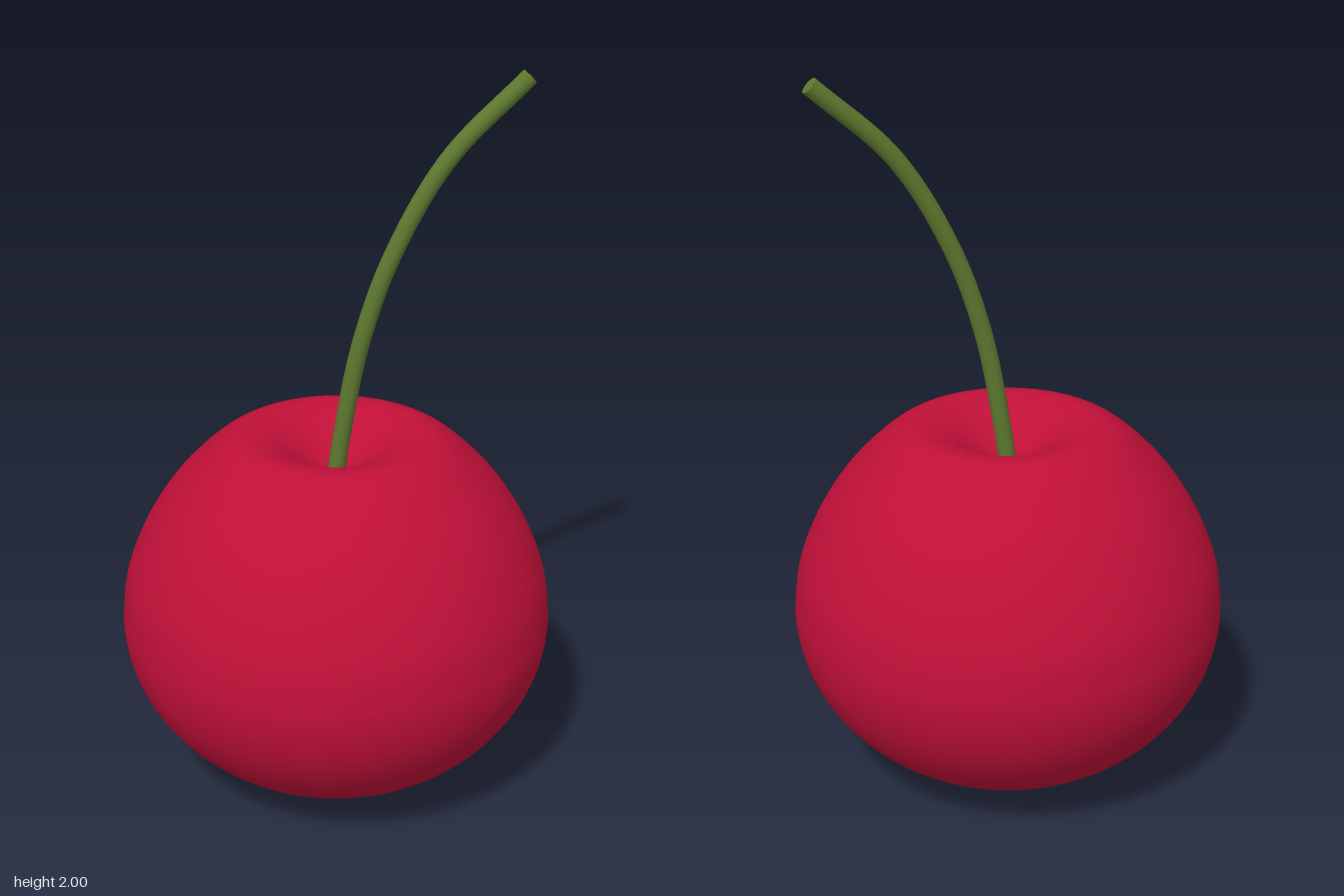
import * as THREE from 'three';

const V2 = (x, y) => new THREE.Vector2(x, y);
const V3 = (x, y, z) => new THREE.Vector3(x, y, z);

export function createModel() {
  const red = new THREE.MeshStandardMaterial({ color: 0xc01038 });
  red.name = 'cherry red';
  const green = new THREE.MeshStandardMaterial({ color: 0x5c772e });
  green.name = 'stem green';

  const model = new THREE.Group();
  model.name = 'cherry';

  // Fruit: half-ellipse underside, then a tapering shoulder that rolls into the dimple
  const profile = [];
  for (let i = 0; i <= 28; i++) {
    const a = (i / 28) * Math.PI / 2;
    profile.push(V2(0.593 * Math.sin(a), 0.5 - 0.5 * Math.cos(a)));
  }
  const shoulder = new THREE.SplineCurve([
    V2(0.593, 0.5), V2(0.58, 0.61), V2(0.546, 0.71), V2(0.5, 0.8), V2(0.441, 0.885),
    V2(0.37, 0.96), V2(0.31, 1.008), V2(0.255, 1.029), V2(0.2, 1.021), V2(0.15, 1.0),
    V2(0.1, 0.968), V2(0.05, 0.938), V2(0, 0.925),
  ]);
  profile.push(...shoulder.getPoints(60).slice(1));
  profile[0].x = profile[profile.length - 1].x = 0;
  const fruit = new THREE.Mesh(new THREE.LatheGeometry(profile, 96), red);
  fruit.name = 'fruit';
  model.add(fruit);

  // Stem: a thin tube bending towards +x and slightly forward
  const radius = 0.024;
  const path = new THREE.CatmullRomCurve3([
    V3(0, 0.91, -0.002), V3(0.016, 1.03, 0.004), V3(0.062, 1.29, 0.02),
    V3(0.143, 1.53, 0.034), V3(0.288, 1.78, 0.048), V3(0.5, 1.98, 0.058),
  ]);
  const stem = new THREE.Mesh(new THREE.TubeGeometry(path, 40, radius, 20, false), green);
  stem.name = 'stem';
  model.add(stem);

  // Flat discs closing both ends of the stem
  for (const [t, sign, name] of [[0, -1, 'stemBase'], [1, 1, 'stemTip']]) {
    const cap = new THREE.Mesh(new THREE.CircleGeometry(radius, 20), green);
    cap.name = name;
    cap.position.copy(path.getPointAt(t));
    cap.quaternion.setFromUnitVectors(V3(0, 0, 1), path.getTangentAt(t).multiplyScalar(sign));
    model.add(cap);
  }
  return model;
}
